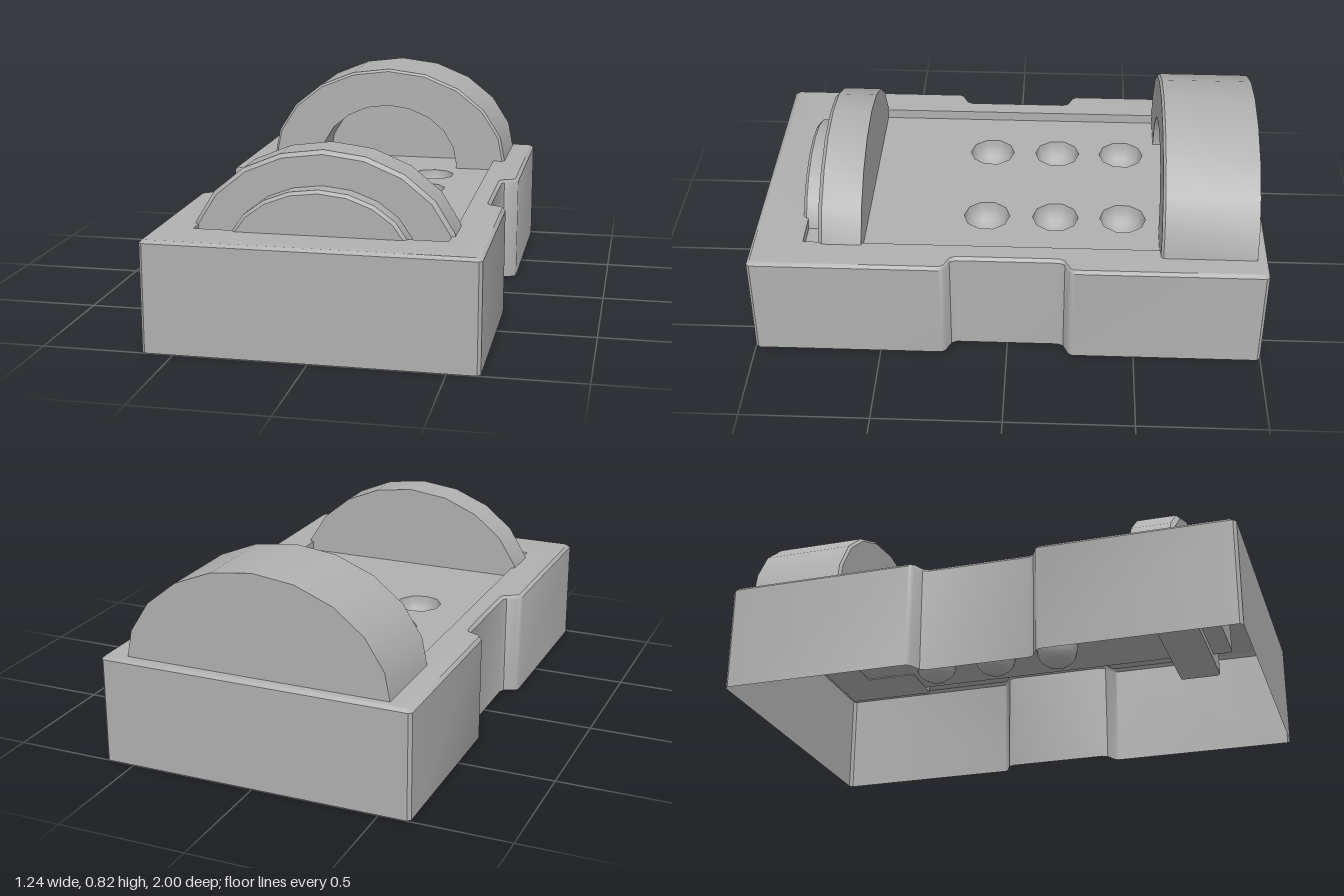
import * as THREE from 'three';
import { mergeGeometries, toCreasedNormals } from 'three/addons/utils/BufferGeometryUtils.js';

const grey = new THREE.MeshStandardMaterial({ color: 0xb0b0b0, side: THREE.DoubleSide });
grey.name = 'warm grey';

const TOP = 0.425, FLOOR = 0.385;

// Skin between counter-clockwise outlines, each given as [points, z]
function loft(rings) {
  const pos = [];
  for (let r = 0; r + 1 < rings.length; r++) {
    const [p, z0] = rings[r], [q, z1] = rings[r + 1];
    for (let i = 0; i < p.length; i++) {
      const j = (i + 1) % p.length;
      const a = [...p[i], z0], b = [...p[j], z0], c = [...q[j], z1], d = [...q[i], z1];
      pos.push(...a, ...b, ...c, ...a, ...c, ...d);
    }
  }
  const g = new THREE.BufferGeometry();
  g.setAttribute('position', new THREE.Float32BufferAttribute(pos, 3));
  return g;
}

const toVectors = (points) => points.map(([x, y]) => new THREE.Vector2(x, y));

// Flat face filling an outline, with optional holes
function face(points, z, holes = [], back = false) {
  const shape = new THREE.Shape(toVectors(points));
  shape.holes = holes.map((h) => new THREE.Path(toVectors(h)));
  const g = new THREE.ShapeGeometry(shape).toNonIndexed();
  g.deleteAttribute('uv');
  g.deleteAttribute('normal');
  if (back) g.rotateY(Math.PI);
  return g.translate(0, 0, z);
}

function part(name, geometries) {
  const list = geometries.map((g) => {
    g.deleteAttribute('normal');
    return g;
  });
  const mesh = new THREE.Mesh(toCreasedNormals(mergeGeometries(list), 0.7), grey);
  mesh.name = name;
  return mesh;
}

// Upper half of an ellipse, right to left, with short legs down to y0
function halfEllipse(a, b, cy, y0) {
  const pts = [[a, y0]];
  for (let i = 0; i <= 10; i++) {
    const t = (i / 10) * Math.PI;
    pts.push([a * Math.cos(t), cy + b * Math.sin(t)]);
  }
  pts.push([-a, y0]);
  return pts;
}

// Half-round slab with a bevelled front edge
function archSlab(name, a, b, cy, z0, z1, bevel) {
  const outer = halfEllipse(a, b, cy, cy - 0.01);
  const inner = halfEllipse(a - bevel, b - bevel, cy, cy - 0.01);
  return part(name, [
    loft([[outer, z0], [outer, z1 - bevel], [inner, z1]]),
    face(outer, z0, [], true),
    face(inner, z1),
  ]);
}

// Hooded arch: solid at the back, half-round opening at the front
function hood() {
  const a = 0.53, b = 0.423, cy = 0.4, bevel = 0.01, y0 = 0.38;
  const opening = halfEllipse(0.31, 0.26, cy, y0).reverse();
  const full = halfEllipse(a, b, cy, y0);
  const outer = [...full, ...opening];
  const inset = [...halfEllipse(a - bevel, b - bevel, cy, y0), ...opening];
  return part('rearHood', [
    loft([[full, -0.96], [full, -0.8]]),
    face(full, -0.96, [], true),
    face(full, -0.8),
    loft([[outer, -0.8], [outer, -0.59 - bevel], [inset, -0.59]]),
    face(inset, -0.59),
  ]);
}

// Base outline, one quarter mirrored around; waist notches on both sides
function baseOutline(inset) {
  const quarter = [[0.555, 0.2], [0.565, 0.222], [0.61, 0.243], [0.62, 0.258], [0.62, 0.988], [0.608, 1]]
    .map(([x, y]) => [x - inset, y > 0.9 ? y - inset : y]);
  const flip = (sx, sy) => quarter.map(([x, y]) => [sx * x, sy * y]);
  return [...quarter, ...flip(-1, 1).reverse(), ...flip(-1, -1), ...flip(1, -1).reverse()];
}

function circle(cx, cy, r) {
  return Array.from({ length: 10 }, (_, i) => {
    const t = ((i + 0.5) / 10) * Math.PI * 2;
    return [cx + r * Math.cos(t), cy + r * Math.sin(t)];
  });
}

export function createModel() {
  const group = new THREE.Group();
  group.name = 'model';

  // Open-bottomed base; its parts are drawn flat and tipped upright
  const base = new THREE.Group();
  base.name = 'base';
  base.rotation.x = -Math.PI / 2;
  const bevel = 0.012;
  const wall = baseOutline(0), rim = baseOutline(bevel);
  const tray = [[0.475, -0.8], [0.475, 0.8], [-0.475, 0.8], [-0.475, -0.8]];
  base.add(part('outerWall', [
    loft([[wall, 0], [wall, TOP - bevel], [rim, TOP]]),
    face(rim, TOP, [tray]),
  ]));

  // Sunken tray floor with six round dimples
  const holes = [], dimples = [], radius = 0.092;
  for (const x of [-0.225, 0.225]) {
    for (const z of [-0.45, -0.18, 0.095]) {
      holes.push(circle(x, -z, radius));
      const rings = [];
      for (let i = 0; i <= 6; i++) {
        const t = (i / 6) * Math.PI / 2;
        rings.push([circle(x, -z, Math.max(radius * Math.cos(t), 0.0005)), FLOOR - radius * Math.sin(t)]);
      }
      dimples.push(loft(rings));
    }
  }
  base.add(part('tray', [loft([[tray, TOP], [tray, FLOOR]]), face(tray, FLOOR, holes)]));
  base.add(part('dimples', dimples));
  group.add(base);

  // Arches standing at both ends
  group.add(hood());
  group.add(archSlab('frontArch', 0.512, 0.42, 0.305, 0.57, 0.74, 0.015));
  group.add(archSlab('frontPanel', 0.35, 0.26, 0.334, 0.73, 0.82, 0.012));
  return group;
}
